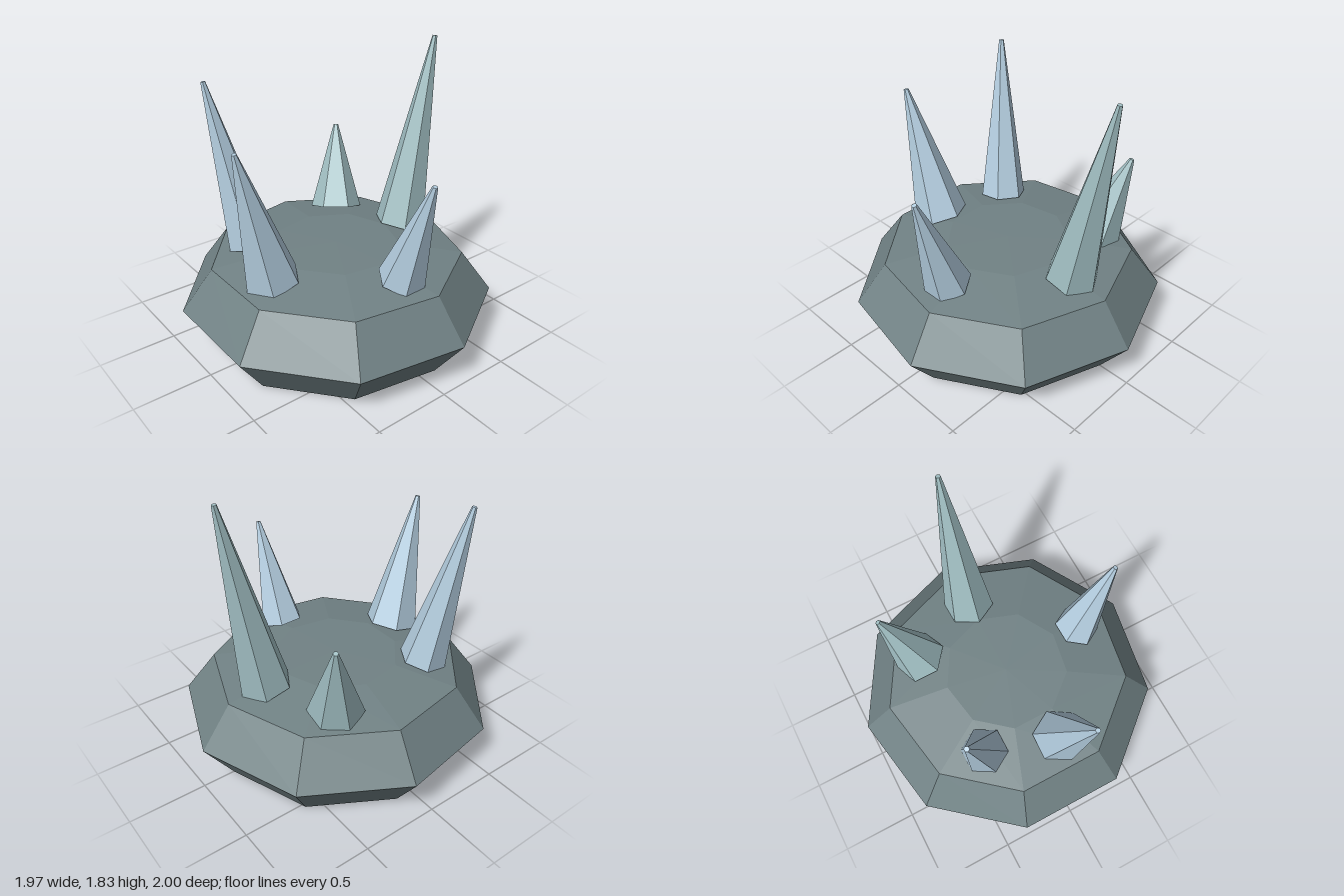
import * as THREE from 'three';

const UP = new THREE.Vector3(0, 1, 0);

function material(name, color) {
  const m = new THREE.MeshStandardMaterial({ color, flatShading: true });
  m.name = name;
  return m;
}

// Tapered hexagonal spike running from a base centre to a tip
function spike(name, mat, base, tip, radius, yaw) {
  const a = new THREE.Vector3(...base);
  const axis = new THREE.Vector3(...tip).sub(a);
  const length = axis.length();
  const geo = new THREE.CylinderGeometry(0.016, radius, length, 6);
  geo.rotateY(THREE.MathUtils.degToRad(yaw));
  geo.translate(0, length / 2, 0);
  const mesh = new THREE.Mesh(geo, mat);
  mesh.name = name;
  mesh.position.copy(a);
  mesh.quaternion.setFromUnitVectors(UP, axis.normalize());
  return mesh;
}

export function createModel() {
  const group = new THREE.Group();
  group.name = 'spikedRock';
  const slate = material('slate', 0x718285);
  const teal = material('paleTeal', 0xa2c0c4);
  const blue = material('paleBlue', 0xb4cee0);

  // Nine-sided boulder with a bevelled rim and a slightly domed top
  const profile = [[0, 0], [0.82, 0], [1.014, 0.272], [0.815, 0.54], [0.41, 0.598], [0, 0.602]]
    .map(([r, y]) => new THREE.Vector2(r, y));
  const rock = new THREE.Mesh(new THREE.LatheGeometry(profile, 9, Math.PI / 2), slate);
  rock.name = 'rockBase';
  rock.position.x = -0.031;
  group.add(rock);

  // Ring of outward-leaning spikes
  group.add(
    spike('leftSpike', teal, [0.52, 0.58, 0], [0.765, 1.83, 0], 0.17, 30),
    spike('backLeftSpike', teal, [0.325, 0.575, -0.467], [0.452, 1.12, -0.632], 0.175, -8),
    spike('backRightSpike', blue, [-0.45, 0.58, -0.38], [-0.617, 1.65, -0.54], 0.155, 30),
    spike('rightSpike', blue, [-0.59, 0.575, 0.095], [-0.815, 1.45, 0.137], 0.178, 30),
    spike('frontSpike', blue, [0.02, 0.58, 0.575], [0.037, 1.26, 0.79], 0.15, 30)
  );
  return group;
}
